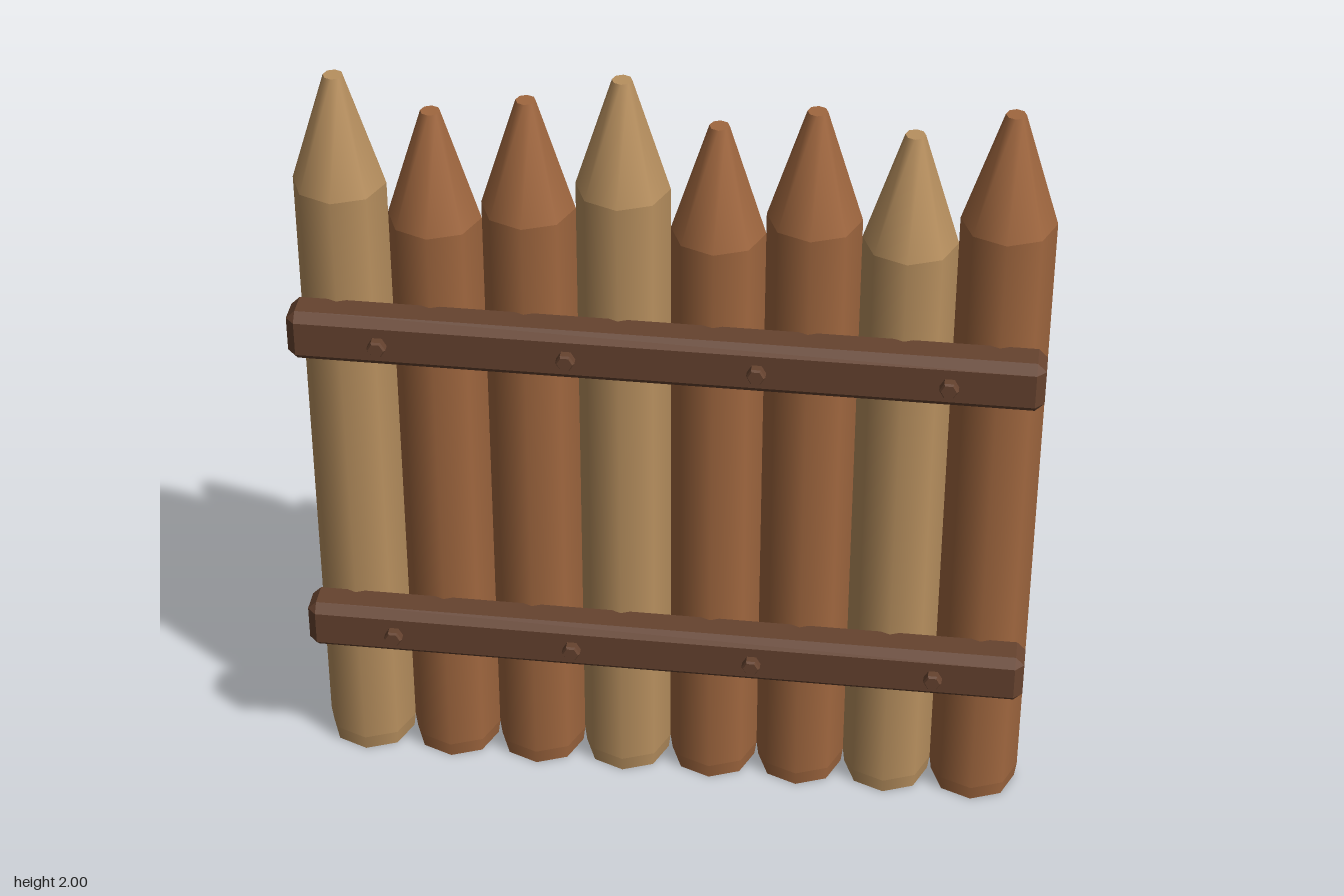
import * as THREE from 'three';
import { mergeGeometries } from 'three/addons/utils/BufferGeometryUtils.js';
import { ConvexGeometry } from 'three/addons/geometries/ConvexGeometry.js';

const mat = (name, color) => new THREE.MeshStandardMaterial({ name, color });

const SPACING = 0.2268, RADIUS = 0.1134, TIP = 0.024, POINT = 0.285, FOOT = 0.04;
const POST_Z = -0.05;

// Octagonal log standing on the ground, sharpened to a blunt tip
function postGeometry(height) {
  const section = (top, bottom, y0, y1, open) =>
    new THREE.CylinderGeometry(top, bottom, y1 - y0, 8, 1, open).translate(0, (y0 + y1) / 2, 0);
  const shoulder = height - POINT;
  const bottomCap = new THREE.CircleGeometry(RADIUS - 0.005, 8, Math.PI / 2).rotateX(Math.PI / 2);
  const topCap = new THREE.CircleGeometry(TIP, 8, Math.PI / 2).rotateX(-Math.PI / 2).translate(0, height, 0);
  return mergeGeometries([
    section(RADIUS, RADIUS - 0.005, 0, FOOT, true),
    section(RADIUS, RADIUS, FOOT, shoulder, true),
    section(TIP, RADIUS, shoulder, height, true),
    bottomCap, topCap,
  ]);
}

// Box with every edge cut flat, given by half sizes and cut width
function chamferedBox(hx, hy, hz, c) {
  const points = [];
  for (const x of [-1, 1]) for (const y of [-1, 1]) for (const z of [-1, 1]) {
    points.push(
      new THREE.Vector3(x * hx, y * (hy - c), z * (hz - c)),
      new THREE.Vector3(x * (hx - c), y * hy, z * (hz - c)),
      new THREE.Vector3(x * (hx - c), y * (hy - c), z * hz));
  }
  return new ConvexGeometry(points);
}

export function createModel() {
  const model = new THREE.Group();
  model.name = 'palisadeFence';
  const paleWood = mat('paleWood', 0xb8905f);
  const brownWood = mat('brownWood', 0xa0673f);
  const darkWood = mat('darkWood', 0x66432f);

  const add = (name, geometry, material, x, y, z) => {
    const mesh = new THREE.Mesh(geometry, material);
    mesh.name = name;
    mesh.position.set(x, y, z);
    model.add(mesh);
  };

  // Row of posts, every third one pale
  [1.965, 1.885, 1.93, 2.0, 1.895, 1.95, 1.905, 1.975].forEach((height, i) =>
    add('post' + (i + 1), postGeometry(height), i % 3 ? brownWood : paleWood,
      (i - 3.5) * SPACING, 0, POST_Z));

  // Two cross rails with hexagonal bolts
  const rail = chamferedBox(0.907, 0.067, 0.053, 0.022);
  const bolt = mergeGeometries([
    new THREE.CylinderGeometry(0.023, 0.023, 0.03, 6).translate(0, -0.003, 0),
    new THREE.CylinderGeometry(0.019, 0.023, 0.006, 6).translate(0, 0.015, 0),
  ].map(g => g.rotateY(Math.PI / 6).rotateX(Math.PI / 2).toNonIndexed()));
  bolt.computeVertexNormals();
  for (const [name, y] of [['lower', 0.457], ['upper', 1.34]]) {
    add(name + 'Rail', rail, darkWood, 0, y, 0.085);
    for (let i = 0; i < 4; i++) {
      add(name + 'Bolt' + (i + 1), bolt, darkWood, (i - 1.5) * 0.455, y, 0.145);
    }
  }
  return model;
}
